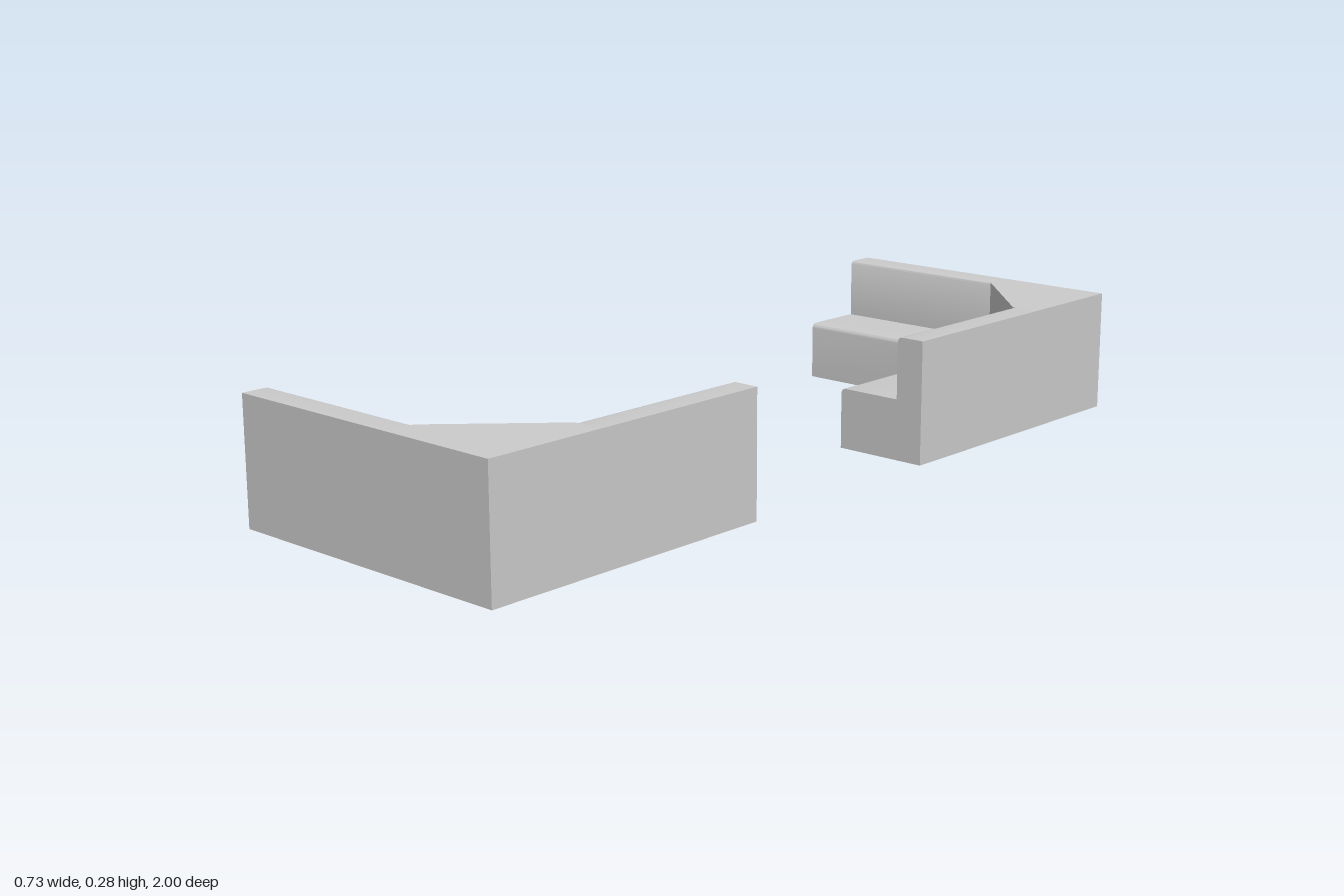
import * as THREE from 'three';
import { toCreasedNormals } from 'three/addons/utils/BufferGeometryUtils.js';

const LENGTH = 0.722, CORNER = 0.28; // outer side of the L, size of the corner unit
const HEIGHT = 0.282, SEAT = 0.14;   // backrest top, seat top
const BACK = 0.068, DEPTH = 0.225;   // backrest thickness, full depth
const R = 0.012;                     // rounding of the upper front edges

const solid = new THREE.MeshStandardMaterial({ color: 0xcccccc });
const shell = new THREE.MeshStandardMaterial({ color: 0xcccccc, side: THREE.DoubleSide, flatShading: true });

function named(name, geometry, material) {
  const mesh = new THREE.Mesh(geometry, material);
  mesh.name = name;
  return mesh;
}

// Straight bench section: stepped profile swept along the arm
function benchArm() {
  const s = new THREE.Shape();
  s.moveTo(0, 0);
  s.lineTo(0, HEIGHT);
  s.lineTo(-BACK + R, HEIGHT);
  s.quadraticCurveTo(-BACK, HEIGHT, -BACK, HEIGHT - R);
  s.lineTo(-BACK, SEAT);
  s.lineTo(-DEPTH + R, SEAT);
  s.quadraticCurveTo(-DEPTH, SEAT, -DEPTH, SEAT - R);
  s.lineTo(-DEPTH, 0);
  const g = new THREE.ExtrudeGeometry(s, { depth: LENGTH - CORNER, bevelEnabled: false, curveSegments: 4 });
  return toCreasedNormals(g, 0.6);
}

// Horizontal panel from [x, z] corners
function panel(points, y) {
  const shape = new THREE.Shape(points.map(([x, z]) => new THREE.Vector2(x, -z)));
  return new THREE.ShapeGeometry(shape).rotateX(-Math.PI / 2).translate(0, y, 0);
}

// Vertical wall along a line of [x, z] points
function wall(points, y0, y1) {
  const v = [];
  for (let i = 0; i + 1 < points.length; i++) {
    const [ax, az] = points[i], [bx, bz] = points[i + 1];
    v.push(ax, y0, az, bx, y0, bz, bx, y1, bz, ax, y0, az, bx, y1, bz, ax, y1, az);
  }
  const g = new THREE.BufferGeometry();
  g.setAttribute('position', new THREE.Float32BufferAttribute(v, 3));
  g.computeVertexNormals();
  return g;
}

// Corner unit, hollow and open underneath
function cornerUnit() {
  const c = CORNER, t = BACK, d = DEPTH;
  const g = new THREE.Group();
  g.name = 'cornerUnit';
  g.add(
    named('outerWalls', wall([[-c, 0], [0, 0], [0, -c]], 0, HEIGHT), shell),
    named('cornerTop', panel([[-c, 0], [0, 0], [0, -c], [-t, -c], [-c, -t]], HEIGHT), shell),
    named('cornerBackrest', wall([[-t, -c], [-c, -t]], SEAT, HEIGHT), shell),
    named('cornerSeat', panel([[-c, -t], [-t, -c], [-d, -c], [-c, -d]], SEAT), shell),
    named('cornerSeatFront', wall([[-d, -c], [-c, -d]], 0, SEAT), shell)
  );
  return g;
}

// L-shaped bench with its outer corner at the origin, arms along -x and -z
function cornerBench(name) {
  const g = new THREE.Group();
  g.name = name;
  const armGeometry = benchArm();
  const sideArm = named('sideArm', armGeometry, solid);
  sideArm.position.z = -LENGTH;
  const endArm = named('endArm', armGeometry, solid);
  endArm.rotation.y = -Math.PI / 2;
  endArm.position.x = -CORNER;
  g.add(sideArm, endArm, cornerUnit());
  return g;
}

export function createModel() {
  const model = new THREE.Group();
  model.name = 'cornerBenches';

  const front = cornerBench('frontBench');
  front.position.set(0.362, 0, 1);

  const back = cornerBench('backBench');
  back.rotation.y = Math.PI / 2;
  back.position.set(0.357, 0, -1);

  model.add(front, back);
  return model;
}
